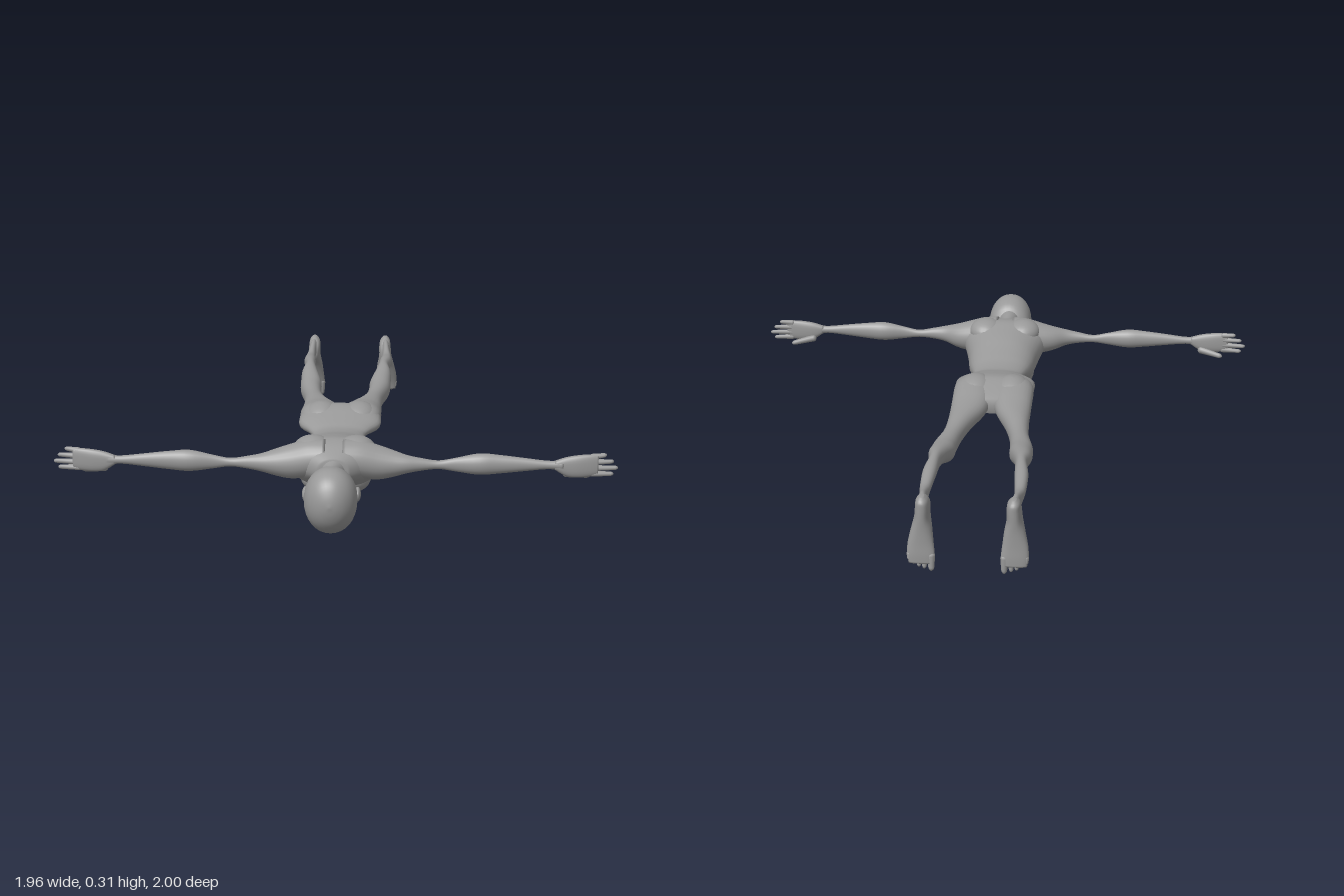
import * as THREE from 'three';

const skin = new THREE.MeshStandardMaterial({ color: 0x999999 });
skin.name = 'greySkin';

// Smooth closed loft. Each row is [w, u0, u1, v0, v1]: the position along the
// axis and the extents of its oval section. (u, v) are x,y / y,z / z,x.
function loft(axis, rows, power = 2, sides = 24, steps = 4) {
  const put = {
    z: (u, v, w) => [u, v, w],
    x: (u, v, w) => [w, u, v],
    y: (u, v, w) => [v, w, u],
  }[axis];
  const cubic = (a, b, c, d, t) => b + 0.5 * t * (c - a + t * (2 * a - 5 * b + 4 * c - d + t * (3 * (b - c) + d - a)));
  const at = (i) => rows[Math.min(Math.max(i, 0), rows.length - 1)];
  const sections = [];
  for (let i = 0; i < rows.length - 1; i++) {
    for (let s = 0; s < steps; s++) {
      sections.push(rows[i].map((_, k) => cubic(at(i - 1)[k], at(i)[k], at(i + 1)[k], at(i + 2)[k], s / steps)));
    }
  }
  sections.push(at(rows.length));
  const pos = [], index = [];
  const bend = (c) => Math.sign(c) * Math.abs(c) ** (2 / power);
  for (const [w, u0, u1, v0, v1] of sections) {
    for (let j = 0; j < sides; j++) {
      const a = (j / sides) * Math.PI * 2;
      pos.push(...put((u0 + u1) / 2 + bend(Math.cos(a)) * (u1 - u0) / 2,
        (v0 + v1) / 2 + bend(Math.sin(a)) * (v1 - v0) / 2, w));
    }
  }
  const n = sections.length;
  for (let i = 0; i < n - 1; i++) {
    for (let j = 0; j < sides; j++) {
      const a = i * sides + j, b = i * sides + (j + 1) % sides;
      index.push(a, b, a + sides, b, b + sides, a + sides);
    }
  }
  // End caps
  for (const e of [0, n - 1]) {
    const [w, u0, u1, v0, v1] = sections[e];
    const c = pos.length / 3;
    pos.push(...put((u0 + u1) / 2, (v0 + v1) / 2, w));
    for (let j = 0; j < sides; j++) {
      const a = e * sides + j, b = e * sides + (j + 1) % sides;
      if (e === 0) index.push(c, b, a); else index.push(c, a, b);
    }
  }
  const g = new THREE.BufferGeometry();
  g.setAttribute('position', new THREE.Float32BufferAttribute(pos, 3));
  g.setIndex(index);
  g.computeVertexNormals();
  return g;
}

function ellipsoid(x, y, z, rx, ry, rz) {
  return new THREE.SphereGeometry(1, 24, 16).scale(rx, ry, rz).translate(x, y, z);
}

// Rounded, tapering finger or toe between two points
function digit(from, to, r) {
  const a = new THREE.Vector3(...from), b = new THREE.Vector3(...to);
  const length = a.distanceTo(b);
  const g = new THREE.CapsuleGeometry(r, length - 2 * r, 4, 10);
  const p = g.attributes.position;
  for (let i = 0; i < p.count; i++) {
    const k = 0.85 - 0.4 * p.getY(i) / length;
    p.setX(i, p.getX(i) * k);
    p.setZ(i, p.getZ(i) * k);
  }
  const turn = new THREE.Quaternion().setFromUnitVectors(new THREE.Vector3(0, 1, 0), b.clone().sub(a).normalize());
  g.applyQuaternion(turn);
  const m = a.add(b).multiplyScalar(0.5);
  return g.translate(m.x, m.y, m.z);
}

// Copy to the other side of x = 0, keeping faces outward
function mirrored(g) {
  const m = g.clone().scale(-1, 1, 1);
  const ix = m.index.array;
  for (let i = 0; i < ix.length; i += 3) [ix[i], ix[i + 1]] = [ix[i + 1], ix[i]];
  m.computeVertexNormals();
  return m;
}

export function createModel() {
  const model = new THREE.Group();
  model.name = 'proneFigure';
  const add = (name, g) => {
    const mesh = new THREE.Mesh(g, skin);
    mesh.name = name;
    model.add(mesh);
  };
  const pair = (name, g) => {
    add(name + 'Left', g);
    add(name + 'Right', mirrored(g));
  };

  // Trunk, from pelvis to the base of the neck
  const trunk = [[-0.07, 0.06, 0.18, 0.235], [-0.03, 0.12, 0.17, 0.25], [0.05, 0.148, 0.167, 0.272],
    [0.1, 0.153, 0.17, 0.27], [0.15, 0.148, 0.175, 0.258], [0.2, 0.115, 0.18, 0.245], [0.24, 0.096, 0.175, 0.236],
    [0.3, 0.107, 0.15, 0.24], [0.35, 0.12, 0.122, 0.252], [0.4, 0.13, 0.1, 0.265], [0.46, 0.138, 0.088, 0.283],
    [0.52, 0.15, 0.1, 0.297], [0.58, 0.165, 0.13, 0.308], [0.63, 0.15, 0.155, 0.302], [0.67, 0.1, 0.17, 0.287],
    [0.71, 0.05, 0.178, 0.268]];
  add('trunk', loft('z', trunk.map(([z, x, a, b]) => [z, -x, x, a, b]), 2.2, 32));
  pair('chest', ellipsoid(0.065, 0.135, 0.475, 0.062, 0.058, 0.078));
  pair('buttock', ellipsoid(0.07, 0.22, 0.06, 0.072, 0.06, 0.095));
  pair('shoulderBlade', ellipsoid(0.075, 0.265, 0.585, 0.07, 0.05, 0.075));

  // Neck and head, face turned down
  add('neck', loft('z', [[0.66, -0.07, 0.07, 0.17, 0.285], [0.7, -0.045, 0.045, 0.175, 0.268],
    [0.74, -0.036, 0.036, 0.17, 0.262], [0.79, -0.042, 0.042, 0.16, 0.265], [0.84, -0.05, 0.05, 0.15, 0.27]]));
  const head = [[0.742, 0.018, 0.09, 0.11], [0.755, 0.036, 0.08, 0.14], [0.785, 0.06, 0.077, 0.21],
    [0.82, 0.08, 0.078, 0.275], [0.86, 0.088, 0.08, 0.298], [0.91, 0.088, 0.08, 0.305], [0.95, 0.076, 0.1, 0.294],
    [0.978, 0.054, 0.13, 0.27], [0.994, 0.028, 0.165, 0.236], [1, 0.004, 0.197, 0.205]];
  add('head', loft('z', head.map(([z, x, a, b]) => [z, -x, x, a, b]), 2.1, 32));
  add('nose', ellipsoid(0, 0.08, 0.825, 0.013, 0.02, 0.022));
  add('lips', ellipsoid(0, 0.08, 0.783, 0.024, 0.01, 0.011));
  pair('ear', ellipsoid(0.088, 0.19, 0.83, 0.011, 0.024, 0.032));

  // Outstretched arms
  pair('arm', loft('x', [[0.03, 0.19, 0.31, 0.55, 0.685], [0.09, 0.175, 0.308, 0.54, 0.68],
    [0.15, 0.17, 0.291, 0.55, 0.672], [0.2, 0.18, 0.276, 0.567, 0.665], [0.25, 0.197, 0.262, 0.595, 0.658],
    [0.3, 0.207, 0.252, 0.607, 0.647], [0.36, 0.213, 0.243, 0.61, 0.638], [0.42, 0.205, 0.254, 0.61, 0.64],
    [0.5, 0.195, 0.27, 0.596, 0.654], [0.57, 0.2, 0.266, 0.602, 0.648], [0.66, 0.21, 0.256, 0.609, 0.642],
    [0.74, 0.218, 0.247, 0.611, 0.639], [0.79, 0.212, 0.25, 0.611, 0.639]]));
  pair('palm', loft('x', [[0.76, 0.217, 0.247, 0.612, 0.638], [0.8, 0.192, 0.26, 0.606, 0.638],
    [0.84, 0.187, 0.267, 0.604, 0.637], [0.88, 0.19, 0.27, 0.605, 0.632], [0.91, 0.196, 0.268, 0.607, 0.626]], 2.5));
  [[0.2, 0.198, 0.965], [0.22, 0.22, 0.98], [0.241, 0.243, 0.965], [0.26, 0.266, 0.94]].forEach(([y0, y1, x], i) =>
    pair('finger' + (i + 1), digit([0.88, y0, 0.617], [x, y1, 0.609], 0.011)));
  pair('thumb', digit([0.79, 0.2, 0.612], [0.888, 0.182, 0.583], 0.014));

  // Legs, ankle to hip
  pair('leg', loft('z', [[-0.97, 0.135, 0.168, 0.2, 0.262], [-0.92, 0.14, 0.17, 0.19, 0.262],
    [-0.86, 0.143, 0.174, 0.192, 0.246], [-0.8, 0.142, 0.18, 0.196, 0.238], [-0.7, 0.134, 0.182, 0.2, 0.254],
    [-0.61, 0.13, 0.172, 0.195, 0.26], [-0.54, 0.117, 0.182, 0.182, 0.254], [-0.46, 0.098, 0.182, 0.152, 0.24],
    [-0.4, 0.096, 0.178, 0.145, 0.231], [-0.3, 0.086, 0.158, 0.146, 0.226], [-0.2, 0.06, 0.151, 0.151, 0.234],
    [-0.1, 0.02, 0.151, 0.158, 0.246], [-0.02, 0.004, 0.152, 0.164, 0.262], [0.06, 0.01, 0.152, 0.168, 0.272],
    [0.14, 0.03, 0.14, 0.18, 0.25]], 2.2));

  // Feet, toes pointing down to the ground
  pair('foot', loft('y', [[0.03, -0.994, -0.974, 0.112, 0.198], [0.06, -0.995, -0.966, 0.11, 0.203],
    [0.1, -0.994, -0.95, 0.114, 0.201], [0.15, -0.995, -0.926, 0.12, 0.19], [0.19, -0.998, -0.895, 0.127, 0.18],
    [0.23, -1, -0.9, 0.127, 0.176], [0.255, -0.998, -0.925, 0.132, 0.172], [0.27, -0.98, -0.95, 0.145, 0.16]], 2.4));
  [[0.122, 0, 0.014], [0.145, 0.008, 0.011], [0.163, 0.014, 0.01], [0.18, 0.024, 0.01], [0.195, 0.036, 0.01]]
    .forEach(([x, y, r], i) => pair('toe' + (i + 1), digit([x, 0.07, -0.98], [x, y, -0.984], r)));

  return model;
}
